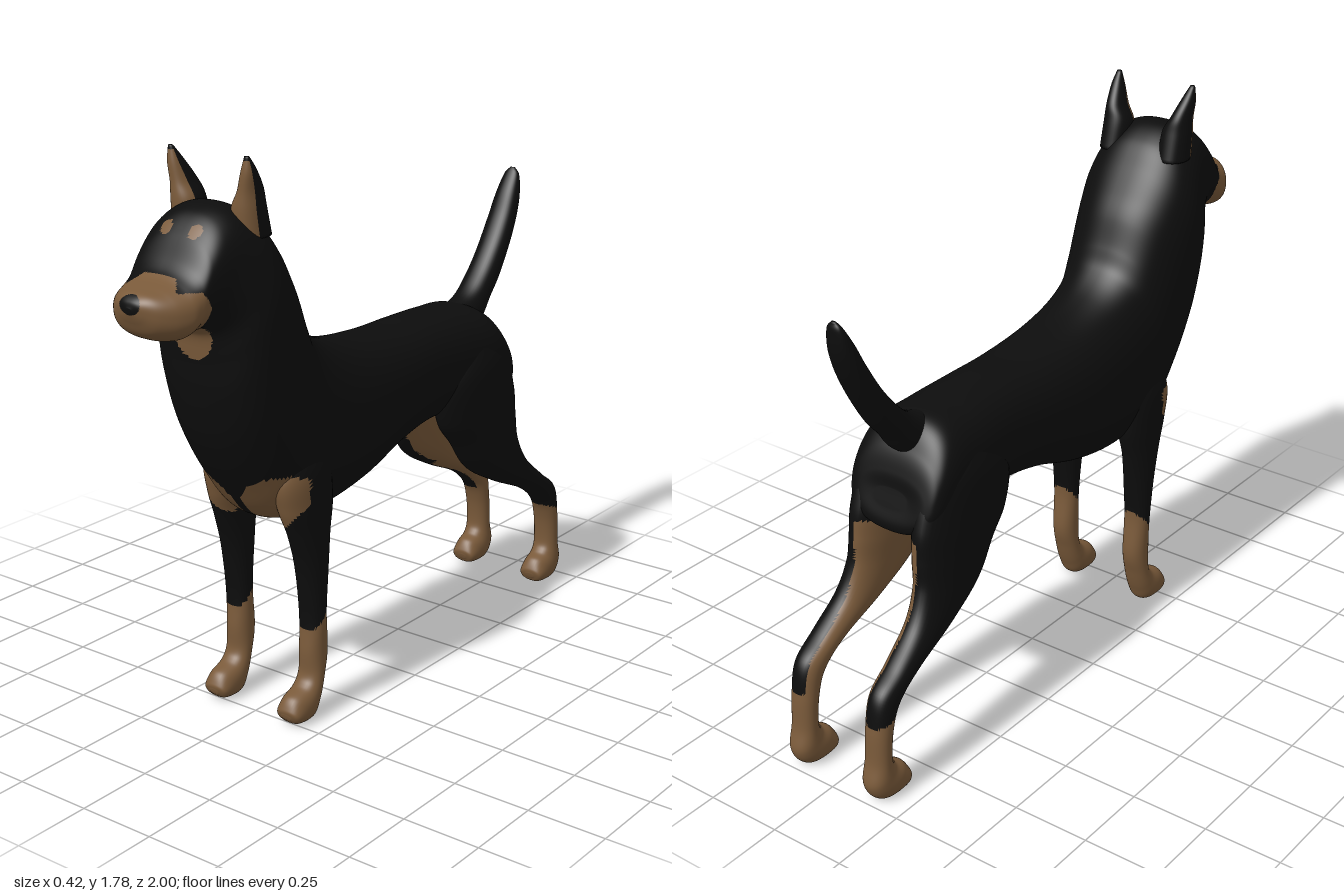
import * as THREE from 'three';

const coat = new THREE.MeshStandardMaterial({ color: 0x0d0d0d });
coat.name = 'black coat';
const tan = new THREE.MeshStandardMaterial({ color: 0x7a5a3a });
tan.name = 'tan markings';

// Smooth loft through rings [zA, yA, zB, yB, centreX, halfWidth]; A and B are
// opposite points of the ring's outline. isTan(x, y, z, cos, t) picks the colour.
function loft(name, rings, isTan, { side = 1, power = 2.2, steps = 8, sides = 40 } = {}) {
  const curve = f => new THREE.CatmullRomCurve3(rings.map(f), false, 'catmullrom', 0.5);
  const a = curve(r => new THREE.Vector3(0, r[1], r[0]));
  const b = curve(r => new THREE.Vector3(0, r[3], r[2]));
  const c = curve(r => new THREE.Vector3(r[4], r[5], 0));
  const rows = (rings.length - 1) * steps;
  const pos = [];
  const bend = v => Math.sign(v) * Math.abs(v) ** (2 / power);
  for (let i = 0; i <= rows; i++) {
    const t = i / rows, A = a.getPoint(t), B = b.getPoint(t), C = c.getPoint(t);
    for (let j = 0; j < sides; j++) {
      const th = (j / sides) * Math.PI * 2;
      const k = (1 + bend(Math.cos(th))) / 2;
      pos.push(side * (C.x + C.y * bend(Math.sin(th))), B.y + (A.y - B.y) * k, B.z + (A.z - B.z) * k);
    }
  }
  // end centres
  for (const t of [0, 1]) {
    const m = a.getPoint(t).add(b.getPoint(t)).multiplyScalar(0.5);
    pos.push(side * c.getPoint(t).x, m.y, m.z);
  }
  const lists = [[], []];
  const tri = (p, q, r, cos, t) => {
    const mid = k => (pos[p * 3 + k] + pos[q * 3 + k] + pos[r * 3 + k]) / 3;
    const list = lists[isTan(Math.abs(mid(0)), mid(1), mid(2), cos, t) ? 1 : 0];
    if (side > 0) list.push(p, q, r); else list.push(p, r, q);
  };
  const first = (rows + 1) * sides;
  for (let j = 0; j < sides; j++) {
    const n = (j + 1) % sides, cos = Math.cos(((j + 0.5) / sides) * Math.PI * 2);
    for (let i = 0; i < rows; i++) {
      const o = i * sides, u = o + sides, t = (i + 0.5) / rows;
      tri(o + j, u + j, o + n, cos, t);
      tri(o + n, u + j, u + n, cos, t);
    }
    tri(first, j, n, cos, 0);
    tri(first + 1, rows * sides + n, rows * sides + j, cos, 1);
  }
  const g = new THREE.BufferGeometry();
  g.setAttribute('position', new THREE.Float32BufferAttribute(pos, 3));
  g.setIndex([...lists[0], ...lists[1]]);
  g.addGroup(0, lists[0].length, 0);
  g.addGroup(lists[0].length, lists[1].length, 1);
  g.computeVertexNormals();
  const mesh = new THREE.Mesh(g, [coat, tan]);
  mesh.name = name;
  return mesh;
}

const inEllipse = (x, y, cx, cy, rx, ry) => ((x - cx) / rx) ** 2 + ((y - cy) / ry) ** 2 < 1;

// Slanted patch on each side of the chest
function chestPatch(x, y, z) {
  const u = (x - 0.105 + y - 0.72) * 0.707, v = (x - 0.105 - y + 0.72) * 0.707;
  return z > 0.46 && x > 0.012 && inEllipse(u, v, 0, 0, 0.118, 0.075);
}

// Muzzle, brow spots, throat and chest; the nose stays black
function bodyMarks(x, y, z) {
  if (z > 0.95 && inEllipse(x, y, 0, 1.413, 0.037, 0.027)) return false;
  const muzzle = y > 1.28 && y < Math.max(1.52 - 0.85 * x, 1.44) && z > 0.82 + Math.max(0, y - 1.39) * 0.6;
  const brow = z > 0.7 && inEllipse(x, y, 0.053, 1.582, 0.021, 0.018);
  const throat = z > 0.68 && y < 1.32 && inEllipse(x, y, 0, 1.29, 0.077, 0.09);
  return muzzle || brow || throat || chestPatch(x, y, z);
}

// Rump, back, chest, neck, head and muzzle in one sweep
const bodyRings = [
  [-0.685, 0.88, -0.70, 0.83, 0, 0.06],
  [-0.675, 0.93, -0.715, 0.77, 0, 0.13],
  [-0.645, 1.00, -0.69, 0.745, 0, 0.165],
  [-0.58, 1.075, -0.60, 0.74, 0, 0.175],
  [-0.45, 1.09, -0.46, 0.74, 0, 0.17],
  [-0.28, 1.095, -0.28, 0.745, 0, 0.165],
  [-0.10, 1.095, -0.10, 0.715, 0, 0.175],
  [0.10, 1.115, 0.10, 0.65, 0, 0.188],
  [0.25, 1.16, 0.30, 0.62, 0, 0.19],
  [0.34, 1.22, 0.49, 0.65, 0, 0.192],
  [0.38, 1.29, 0.60, 0.77, 0, 0.198],
  [0.42, 1.385, 0.69, 0.93, 0, 0.205],
  [0.46, 1.45, 0.73, 1.08, 0, 0.21],
  [0.51, 1.525, 0.742, 1.20, 0, 0.208],
  [0.57, 1.60, 0.755, 1.275, 0, 0.19],
  [0.65, 1.643, 0.79, 1.302, 0, 0.168],
  [0.73, 1.628, 0.82, 1.302, 0, 0.155],
  [0.79, 1.575, 0.85, 1.30, 0, 0.147],
  [0.84, 1.50, 0.87, 1.297, 0, 0.143],
  [0.88, 1.468, 0.895, 1.295, 0, 0.138],
  [0.93, 1.452, 0.93, 1.303, 0, 0.118],
  [0.97, 1.442, 0.965, 1.325, 0, 0.085],
  [0.993, 1.425, 0.985, 1.36, 0, 0.047],
  [1.0, 1.405, 0.998, 1.39, 0, 0.01],
];

const tailRings = [
  [-0.52, 0.94, -0.50, 1.07, 0, 0.06],
  [-0.65, 0.99, -0.60, 1.10, 0, 0.058],
  [-0.71, 1.06, -0.67, 1.155, 0, 0.055],
  [-0.77, 1.13, -0.74, 1.24, 0, 0.053],
  [-0.85, 1.265, -0.80, 1.335, 0, 0.05],
  [-0.895, 1.375, -0.84, 1.41, 0, 0.043],
  [-0.905, 1.455, -0.878, 1.47, 0, 0.028],
  [-0.90, 1.486, -0.892, 1.488, 0, 0.008],
];

const earRings = [
  [0.55, 1.55, 0.67, 1.55, 0.112, 0.048],
  [0.572, 1.64, 0.675, 1.625, 0.112, 0.046],
  [0.588, 1.69, 0.672, 1.68, 0.124, 0.031],
  [0.625, 1.745, 0.672, 1.735, 0.135, 0.021],
  [0.655, 1.783, 0.666, 1.783, 0.14, 0.008],
];

const frontLegRings = [
  [0.48, 0.92, 0.36, 0.92, 0.13, 0.03],
  [0.54, 0.80, 0.32, 0.82, 0.133, 0.06],
  [0.525, 0.70, 0.31, 0.70, 0.138, 0.058],
  [0.49, 0.61, 0.33, 0.60, 0.145, 0.05],
  [0.453, 0.49, 0.348, 0.48, 0.147, 0.048],
  [0.432, 0.33, 0.36, 0.35, 0.147, 0.044],
  [0.437, 0.22, 0.35, 0.215, 0.146, 0.042],
  [0.437, 0.145, 0.37, 0.13, 0.146, 0.043],
  [0.46, 0.112, 0.395, 0.055, 0.146, 0.047],
  [0.51, 0.092, 0.425, 0.006, 0.146, 0.05],
  [0.532, 0.06, 0.50, 0.006, 0.146, 0.043],
  [0.533, 0.042, 0.528, 0.025, 0.146, 0.015],
];

const hindLegRings = [
  [-0.43, 0.98, -0.55, 1.0, 0.12, 0.04],
  [-0.31, 0.87, -0.66, 0.92, 0.118, 0.07],
  [-0.32, 0.74, -0.715, 0.79, 0.119, 0.073],
  [-0.39, 0.65, -0.725, 0.69, 0.122, 0.069],
  [-0.47, 0.545, -0.733, 0.60, 0.129, 0.062],
  [-0.61, 0.463, -0.78, 0.505, 0.137, 0.055],
  [-0.78, 0.385, -0.875, 0.42, 0.144, 0.048],
  [-0.87, 0.315, -0.955, 0.355, 0.146, 0.045],
  [-0.905, 0.24, -0.978, 0.25, 0.146, 0.043],
  [-0.915, 0.145, -0.985, 0.14, 0.146, 0.043],
  [-0.897, 0.108, -1.0, 0.06, 0.146, 0.047],
  [-0.862, 0.09, -0.96, 0.006, 0.146, 0.05],
  [-0.843, 0.06, -0.87, 0.006, 0.146, 0.043],
  [-0.842, 0.042, -0.848, 0.025, 0.146, 0.015],
];

export function createModel() {
  const dog = new THREE.Group();
  dog.name = 'dog';
  dog.add(loft('body', bodyRings, bodyMarks, { power: 2.4, steps: 12, sides: 112 }));
  dog.add(loft('tail', tailRings, () => false));

  // Ears and legs, mirrored left and right
  for (const [label, side] of [['left', 1], ['right', -1]]) {
    dog.add(loft(label + 'Ear', earRings, (x, y, z, cos, t) => cos < -0.35 && t < 0.93, { side }));
    dog.add(loft(label + 'FrontLeg', frontLegRings,
      (x, y, z) => y < 0.29 + Math.max(0, 0.43 - z) * 1.2 || chestPatch(x, y, z), { side, steps: 10 }));
    // inner face of the hind leg is tan up to the thigh
    dog.add(loft(label + 'HindLeg', hindLegRings,
      (x, y, z) => y < 0.29 + (z + 0.9) * 0.35 || (y < 0.75 && x < (z > -0.6 ? 0.095 : 0.12)), { side, steps: 10 }));
  }
  return dog;
}
